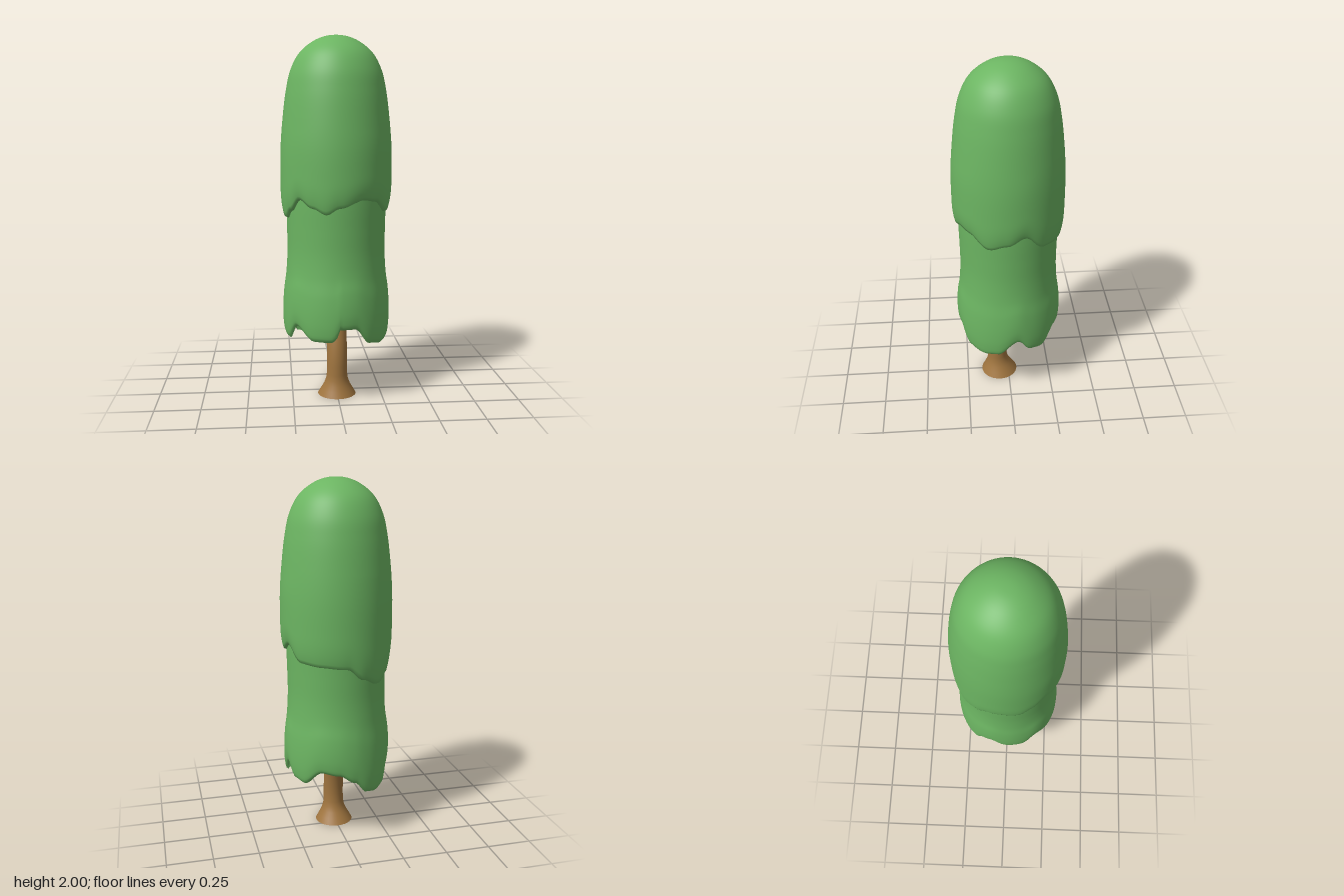
import * as THREE from 'three';
import { mergeVertices, toCreasedNormals } from 'three/addons/utils/BufferGeometryUtils.js';

const leafMaterial = new THREE.MeshStandardMaterial({ color: 0x6cb562, side: THREE.DoubleSide });
const barkMaterial = new THREE.MeshStandardMaterial({ color: 0xa0753f });

// Smooth periodic height of a hem, from [degrees, height] pairs (0 = front, 90 = +x)
function hemHeight(hem, deg) {
  const n = hem.length;
  let i = n - 1;
  while (i > 0 && hem[i][0] > deg) i--;
  const [a0, h0] = hem[i];
  const [a1, h1] = i + 1 < n ? hem[i + 1] : [hem[0][0] + 360, hem[0][1]];
  const t = (deg - a0) / (a1 - a0);
  return h0 + (h1 - h0) * t * t * (3 - 2 * t);
}

function smoothProfile(points, count) {
  const curve = new THREE.CatmullRomCurve3(points.map(([r, y]) => new THREE.Vector3(r, y, 0)));
  return curve.getSpacedPoints(count).map((p) => new THREE.Vector2(Math.max(p.x, 0), p.y));
}

function weld(geometry) {
  geometry.deleteAttribute('uv');
  geometry.deleteAttribute('normal');
  const welded = mergeVertices(geometry, 1e-4);
  welded.computeVertexNormals();
  return welded;
}

// Lathed shell whose part below the pivot height is stretched to reach a wavy hem
function leafShell(name, profile, hem, pivot) {
  const bottom = profile[0][1];
  const geometry = new THREE.LatheGeometry(smoothProfile(profile, 56), 120);
  const pos = geometry.attributes.position;
  for (let i = 0; i < pos.count; i++) {
    const y = pos.getY(i);
    if (y >= pivot) continue;
    const deg = (THREE.MathUtils.radToDeg(Math.atan2(pos.getX(i), pos.getZ(i))) + 360) % 360;
    pos.setY(i, pivot - (pivot - y) * (pivot - hemHeight(hem, deg)) / (pivot - bottom));
  }
  const mesh = new THREE.Mesh(weld(geometry), leafMaterial);
  mesh.name = name;
  return mesh;
}

export function createModel() {
  const tree = new THREE.Group();
  tree.name = 'tree';

  // Upper foliage: tall dome with its hem tucked in
  const upperHem = [[0, 1.085], [27, 1.125], [42, 1.115], [65, 1.05], [85, 1.08], [104, 1.125],
    [126, 1.04], [150, 1.03], [178, 1.02], [197, 0.955], [217, 0.915], [235, 0.96], [250, 1.02],
    [265, 1.03], [285, 1.015], [298, 1.06], [313, 1.125], [330, 1.08], [345, 1.05]];
  tree.add(leafShell('upperFoliage', [[0.275, 1.06], [0.288, 1.06], [0.298, 1.09], [0.306, 1.15],
    [0.308, 1.25], [0.306, 1.4], [0.294, 1.55], [0.275, 1.7], [0.25, 1.81], [0.2, 1.905],
    [0.12, 1.97], [0.05, 1.996], [0, 2]], upperHem, 1.5));

  // Lower foliage: waisted sleeve that flares to a scalloped hem
  const lowerHem = [[6, 0.43], [17, 0.43], [36, 0.34], [56, 0.322], [73, 0.335], [98, 0.43],
    [113, 0.36], [127, 0.35], [150, 0.43], [170, 0.415], [187, 0.37], [203, 0.3], [217, 0.287],
    [230, 0.305], [240, 0.39], [252, 0.42], [270, 0.355], [290, 0.345], [307, 0.43], [330, 0.36],
    [350, 0.36]];
  tree.add(leafShell('lowerFoliage', [[0.277, 0.36], [0.288, 0.37], [0.297, 0.42], [0.299, 0.5],
    [0.293, 0.6], [0.28, 0.7], [0.273, 0.82], [0.274, 0.95], [0.277, 1.08], [0.277, 1.2]],
  lowerHem, 0.75));

  // Trunk: flared foot, then a stem that bows forward and leans back to the middle
  const bark = [[0, 0], [0.107, 0], [0.09, 0.03], [0.073, 0.06], [0.062, 0.09], [0.058, 0.12]];
  for (let y = 0.17; y < 1.2; y += 0.05) bark.push([0.057, y]);
  bark.push([0, 1.2]);
  const lean = new THREE.SplineCurve([[0, 0.055], [0.1, 0.066], [0.2, 0.067], [0.3, 0.052],
    [0.4, 0.024], [0.5, 0.005], [0.6, 0], [0.7, 0], [0.8, 0], [0.9, 0], [1, 0], [1.1, 0], [1.2, 0]]
    .map(([y, z]) => new THREE.Vector2(y, z)));
  const trunkGeometry = new THREE.LatheGeometry(bark.map(([r, y]) => new THREE.Vector2(r, y)), 32);
  const pos = trunkGeometry.attributes.position;
  for (let i = 0; i < pos.count; i++) {
    pos.setZ(i, pos.getZ(i) + lean.getPoint(Math.min(pos.getY(i) / 1.2, 1)).y);
  }
  const trunk = new THREE.Mesh(toCreasedNormals(weld(trunkGeometry), 0.8), barkMaterial);
  trunk.name = 'trunk';
  tree.add(trunk);

  return tree;
}
